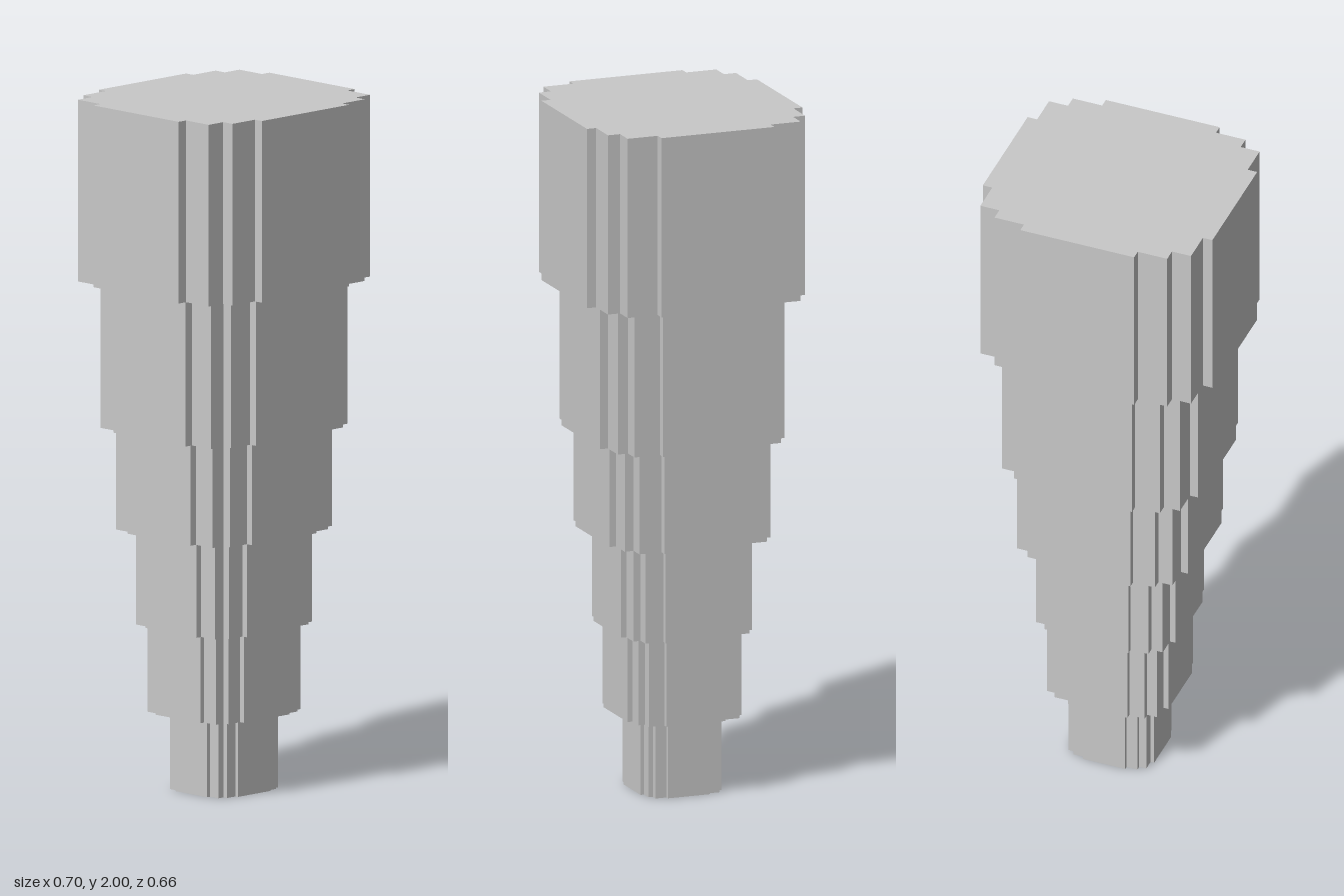
import * as THREE from 'three';

// Quarter outline of the widest tier: stepped corner from +x round to +z
const CORNER = [
  [0.351, 0.173], [0.322, 0.173], [0.322, 0.265], [0.264, 0.265],
  [0.264, 0.302], [0.174, 0.302], [0.174, 0.33],
];

// Tiers from bottom to top: base height, top height, outline scale
const TIERS = [
  [0, 0.225, 0.37],
  [0.225, 0.478, 0.523],
  [0.478, 0.754, 0.602],
  [0.754, 1.049, 0.738],
  [1.049, 1.474, 0.845],
  [1.474, 2, 1],
];

// Mirror the corner into a full counter-clockwise outline
function steppedOutline(scale) {
  const points = [];
  for (const [sx, sy] of [[1, 1], [-1, 1], [-1, -1], [1, -1]]) {
    const corner = sx * sy > 0 ? CORNER : [...CORNER].reverse();
    for (const [x, y] of corner) points.push(new THREE.Vector2(x * sx * scale, y * sy * scale));
  }
  return new THREE.Shape(points);
}

export function createModel() {
  const model = new THREE.Group();
  model.name = 'steppedColumn';
  const stone = new THREE.MeshStandardMaterial({ color: 0xc8c8c8 });
  stone.name = 'light grey stone';

  // Stacked tiers, each wider than the one below
  TIERS.forEach(([bottom, top, scale], i) => {
    const geometry = new THREE.ExtrudeGeometry(steppedOutline(scale), { depth: top - bottom, bevelEnabled: false });
    geometry.rotateX(-Math.PI / 2);
    const tier = new THREE.Mesh(geometry, stone);
    tier.name = `tier${i + 1}`;
    tier.position.y = bottom;
    model.add(tier);
  });
  return model;
}
